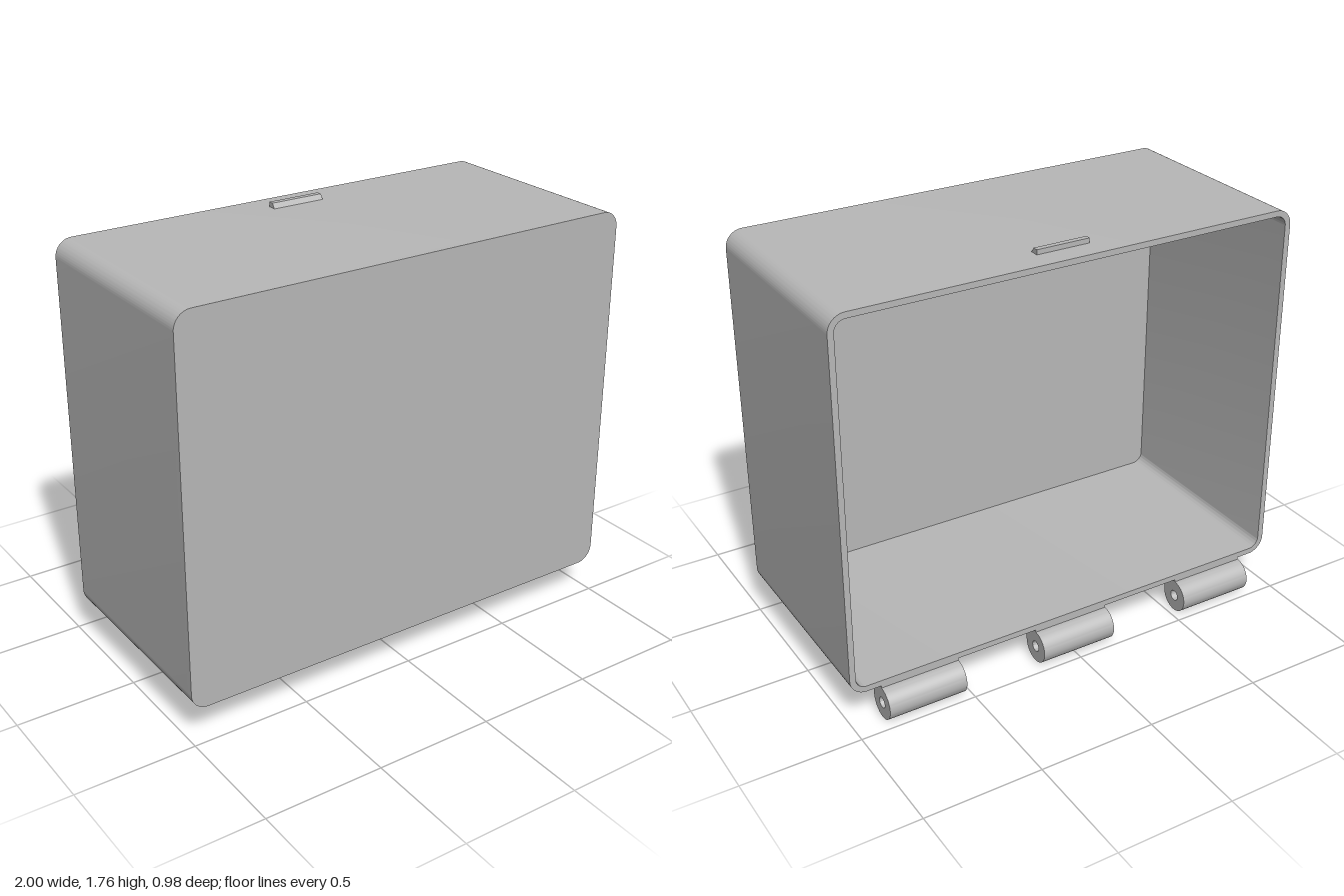
import * as THREE from 'three';
import { toCreasedNormals } from 'three/addons/utils/BufferGeometryUtils.js';

const Y0 = 0.15, Y1 = 1.74, BACK = -0.42, FRONT = 0.49, WALL = 0.025, RADIUS = 0.07;

// Rounded rectangle outline of the case, shrunk by an inset
function outline(Type, inset) {
  const x = 1 - inset, b = Y0 + inset, t = Y1 - inset, r = RADIUS - inset;
  const p = new Type();
  p.moveTo(-x + r, b);
  p.lineTo(x - r, b);
  p.absarc(x - r, b + r, r, -Math.PI / 2, 0);
  p.lineTo(x, t - r);
  p.absarc(x - r, t - r, r, 0, Math.PI / 2);
  p.lineTo(-x + r, t);
  p.absarc(-x + r, t - r, r, Math.PI / 2, Math.PI);
  p.lineTo(-x, b + r);
  p.absarc(-x + r, b + r, r, Math.PI, Math.PI * 1.5);
  return p;
}

function extrude(shape, depth, curveSegments = 12) {
  return toCreasedNormals(
    new THREE.ExtrudeGeometry(shape, { depth, curveSegments, bevelEnabled: false }), 0.6);
}

// Extrude a (z, y) profile along x, centred on x = 0
function extrudeAlongX(shape, width, curveSegments) {
  return extrude(shape, width, curveSegments)
    .translate(0, 0, -width / 2)
    .rotateY(-Math.PI / 2);
}

export function createModel() {
  const group = new THREE.Group();
  const grey = new THREE.MeshStandardMaterial({ color: 0xb8b8b8 });
  grey.name = 'grey plastic';

  const add = (name, geometry, x = 0, z = 0) => {
    const mesh = new THREE.Mesh(geometry, grey);
    mesh.name = name;
    mesh.position.set(x, 0, z);
    group.add(mesh);
  };

  // Four walls, open at the back
  const ring = outline(THREE.Shape, 0);
  ring.holes.push(outline(THREE.Path, WALL));
  add('walls', extrude(ring, FRONT - WALL - BACK), 0, BACK);

  // Closed front
  add('frontPanel', extrude(outline(THREE.Shape, 0), WALL), 0, FRONT - WALL);

  // Hinge knuckles with pin holes under the open edge
  const knuckle = new THREE.Shape();
  knuckle.moveTo(-0.35, Y0 + 0.01);
  knuckle.lineTo(-0.35, 0.07);
  knuckle.absarc(-0.42, 0.07, 0.07, 0, -Math.PI * 1.5, true);
  knuckle.lineTo(-0.42, Y0 + 0.01);
  const pinHole = new THREE.Path();
  pinHole.absarc(-0.42, 0.07, 0.023, 0, Math.PI * 2);
  knuckle.holes.push(pinHole);
  const knuckleGeometry = extrudeAlongX(knuckle, 0.34, 24);
  for (const x of [-0.7, 0, 0.7]) add('hingeKnuckle', knuckleGeometry, x);

  // Latch ridge on top, sloping towards the open edge
  const ridge = new THREE.Shape();
  ridge.moveTo(-0.285, Y1 - 0.005);
  ridge.lineTo(-0.285, 1.76);
  ridge.lineTo(-0.308, 1.76);
  ridge.lineTo(-0.322, Y1);
  ridge.lineTo(-0.322, Y1 - 0.005);
  // Mirror the profile so the upright face looks towards the back
  const ridgeGeometry = extrudeAlongX(ridge, 0.23).rotateY(Math.PI);
  add('latchRidge', ridgeGeometry, 0, -0.607);

  return group;
}
